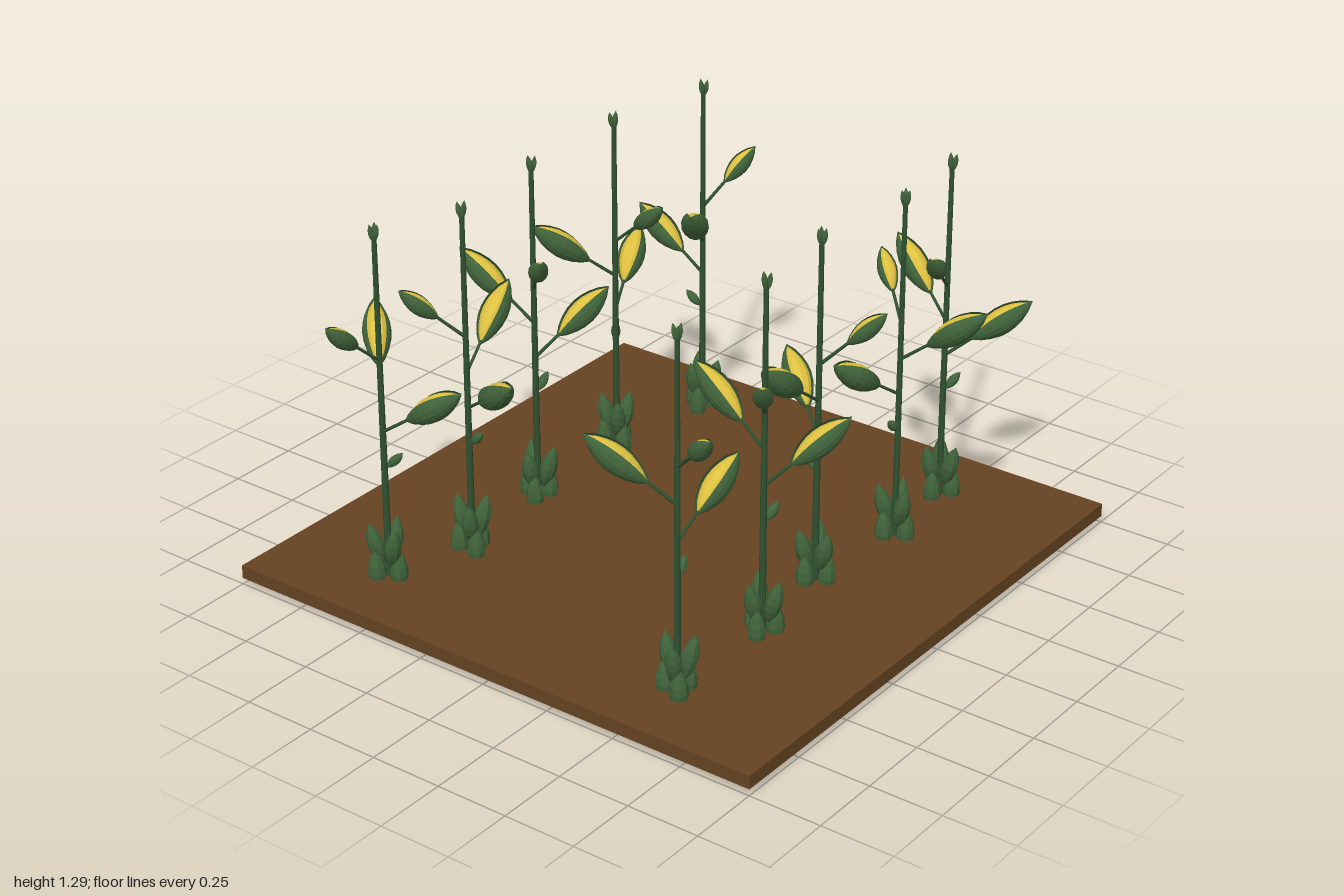
import * as THREE from 'three';

const mat = (name, color, side = THREE.FrontSide) => {
  const m = new THREE.MeshStandardMaterial({ color, side, flatShading: true });
  m.name = name;
  return m;
};
const soilMat = mat('soil brown', 0x654321);
const stalkMat = mat('stalk green', 0x2f5030);
const leafMat = mat('leaf green', 0x40633a, THREE.DoubleSide);
const cobMat = mat('kernel yellow', 0xdcc040, THREE.DoubleSide);

// Pointed spindle along +y; "gap" is half the opening angle, centred on -x
function spindle(length, radius, gap = 0, sides = 10, rows = 8) {
  const pts = [];
  for (let i = 0; i <= rows; i++) {
    const t = i / rows;
    pts.push(new THREE.Vector2(radius * Math.pow(Math.sin(Math.PI * Math.min(t, 0.9999)), 0.8) + 1e-4, length * t));
  }
  return new THREE.LatheGeometry(pts, sides, Math.PI * 1.5 + gap, Math.PI * 2 - gap * 2);
}

// Place a +y part so it runs from (r0, y0) to (r1, y1) in the xy plane
function lay(mesh, [r0, y0, r1, y1]) {
  mesh.position.set(r0, y0, 0);
  mesh.rotation.z = -Math.atan2(r1 - r0, y1 - y0);
  return mesh;
}
const span = ([r0, y0, r1, y1]) => Math.hypot(r1 - r0, y1 - y0);

function named(name, geometry, material) {
  const m = new THREE.Mesh(geometry, material);
  m.name = name;
  return m;
}

// Holder turned to a compass angle in degrees, measured from +x towards +z
function turned(name, degrees) {
  const g = new THREE.Group();
  g.name = name;
  g.rotation.y = -THREE.MathUtils.degToRad(degrees);
  return g;
}

function leaf(name, degrees, line, width, sides = 8) {
  const g = turned(name, degrees);
  g.add(lay(named(name + 'Blade', spindle(span(line), width, 0, sides, 6), leafMat), line));
  return g;
}

// Ear of corn: stem, open husk and kernels inside
function ear(name, degrees, line, width) {
  const g = turned(name, degrees);
  const [r0, y0, r1, y1] = line;
  const L = span(line);
  const stemLine = [0, y0 - r0 * (y1 - y0) / (r1 - r0), r0, y0];
  const s = span(stemLine) + 0.02;
  const stem = named('earStem', new THREE.CylinderGeometry(0.005, 0.006, s, 6).translate(0, s / 2, 0), stalkMat);
  const husk = named('husk', spindle(L, width, 0.72, 12), leafMat);
  const cob = named('kernels', spindle(L * 0.92, width * 0.84, 0, 12).translate(0, L * 0.04, 0), cobMat);
  g.add(lay(stem, stemLine), lay(husk, line), lay(cob, line));
  return g;
}

function plant(x, z, heading) {
  const p = turned('cornPlant', heading);
  p.position.set(x, 0, z);
  const stalk = named('stalk', new THREE.CylinderGeometry(0.008, 0.012, 1.22, 8), stalkMat);
  stalk.position.y = 0.65;
  p.add(stalk);

  p.add(ear('topEar', 0, [0.08, 0.9, 0.205, 1.01], 0.032));
  p.add(ear('middleEar', 128, [0.08, 0.765, 0.28, 0.915], 0.046));
  p.add(ear('lowerEar', 248, [0.08, 0.635, 0.28, 0.77], 0.046));
  p.add(leaf('smallLeaf', 230, [0.008, 0.455, 0.06, 0.508], 0.016));

  for (let i = 0; i < 3; i++) {
    const a = 20 + i * 120;
    p.add(leaf('lowerBaseLeaf', a, [0.038, 0, 0.045, 0.17], 0.03));
    p.add(leaf('upperBaseLeaf', a + 25, [0.018, 0.1, 0.058, 0.255], 0.028));
    p.add(leaf('tasselLeaf', a, [0.004, 1.232, 0.014, 1.292], 0.009, 6));
  }
  return p;
}

export function createModel() {
  const model = new THREE.Group();
  model.name = 'cornField';

  const soil = named('soil', new THREE.BoxGeometry(2, 0.046, 2), soilMat);
  soil.position.y = 0.045;
  model.add(soil);

  // Two rows of plants: x, z, heading of the top ear
  const plants = [
    [-0.479, -0.774, -66], [-0.545, -0.372, 2], [-0.532, 0.072, 44], [-0.479, 0.474, 132], [-0.586, 0.758, 98],
    [0.525, -0.742, 73], [0.56, -0.42, 217], [0.515, -0.03, -34], [0.565, 0.329, 57], [0.56, 0.758, 26],
  ];
  for (const [x, z, heading] of plants) model.add(plant(x, z, heading));
  return model;
}
